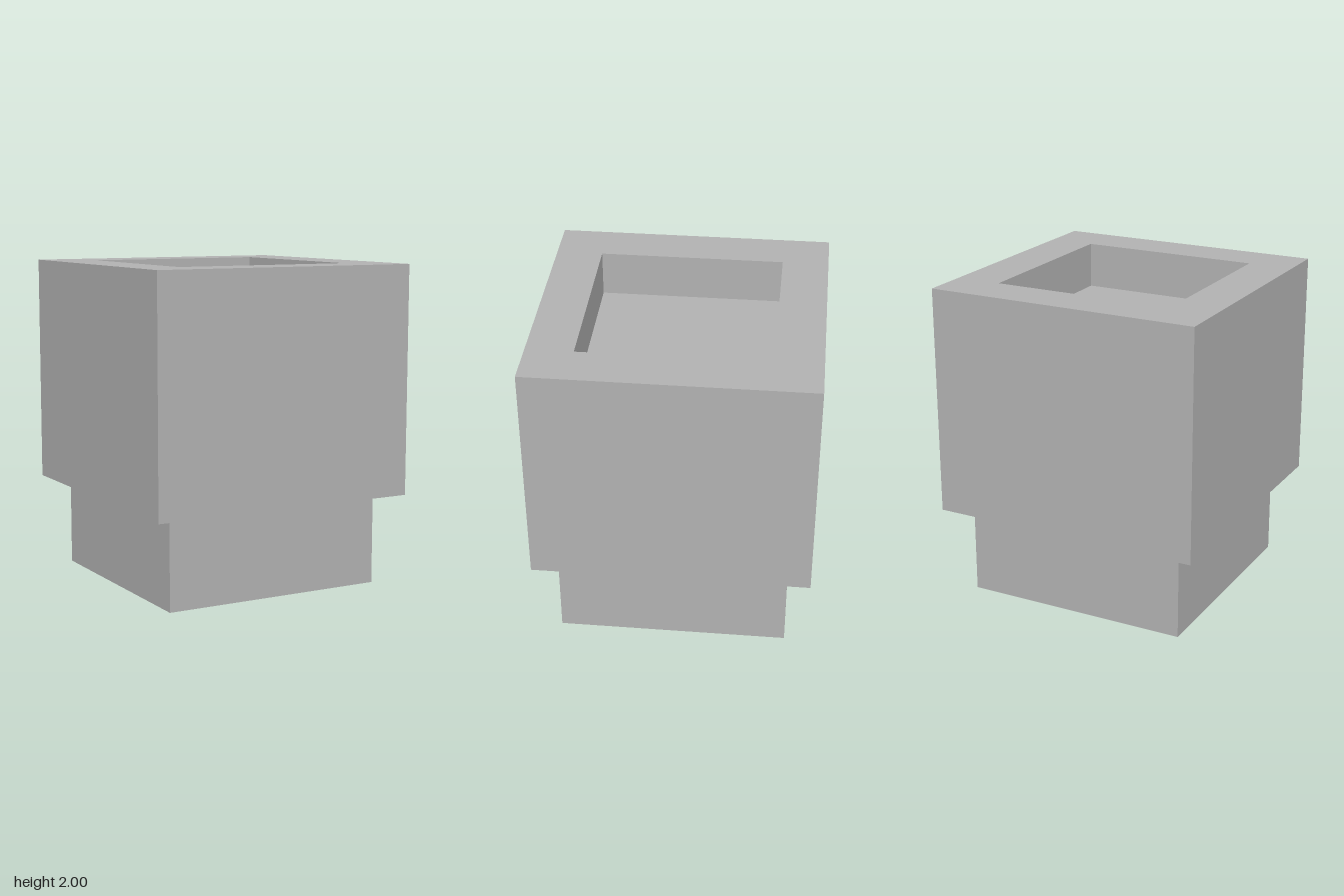
import * as THREE from 'three';

const U = 1 / 7; // design module: every size is a multiple of it

function square(PathType, half) {
  return new PathType([
    new THREE.Vector2(-half, -half), new THREE.Vector2(half, -half),
    new THREE.Vector2(half, half), new THREE.Vector2(-half, half),
  ]);
}

export function createModel() {
  const group = new THREE.Group();
  const grey = new THREE.MeshStandardMaterial({ color: 0xb2b2b2 });
  grey.name = 'grey';

  const add = (name, geometry, y) => {
    const mesh = new THREE.Mesh(geometry, grey);
    mesh.name = name;
    mesh.position.y = y;
    group.add(mesh);
  };

  // Narrow foot and the solid part of the wide body
  add('base', new THREE.BoxGeometry(10 * U, 4 * U, 10 * U), 2 * U);
  add('body', new THREE.BoxGeometry(12 * U, 8 * U, 12 * U), 8 * U);

  // Square rim around the recess in the top
  const outline = square(THREE.Shape, 6 * U);
  outline.holes.push(square(THREE.Path, 4 * U));
  const rim = new THREE.ExtrudeGeometry(outline, { depth: 2 * U, bevelEnabled: false });
  rim.rotateX(-Math.PI / 2);
  add('rim', rim, 12 * U);

  return group;
}
